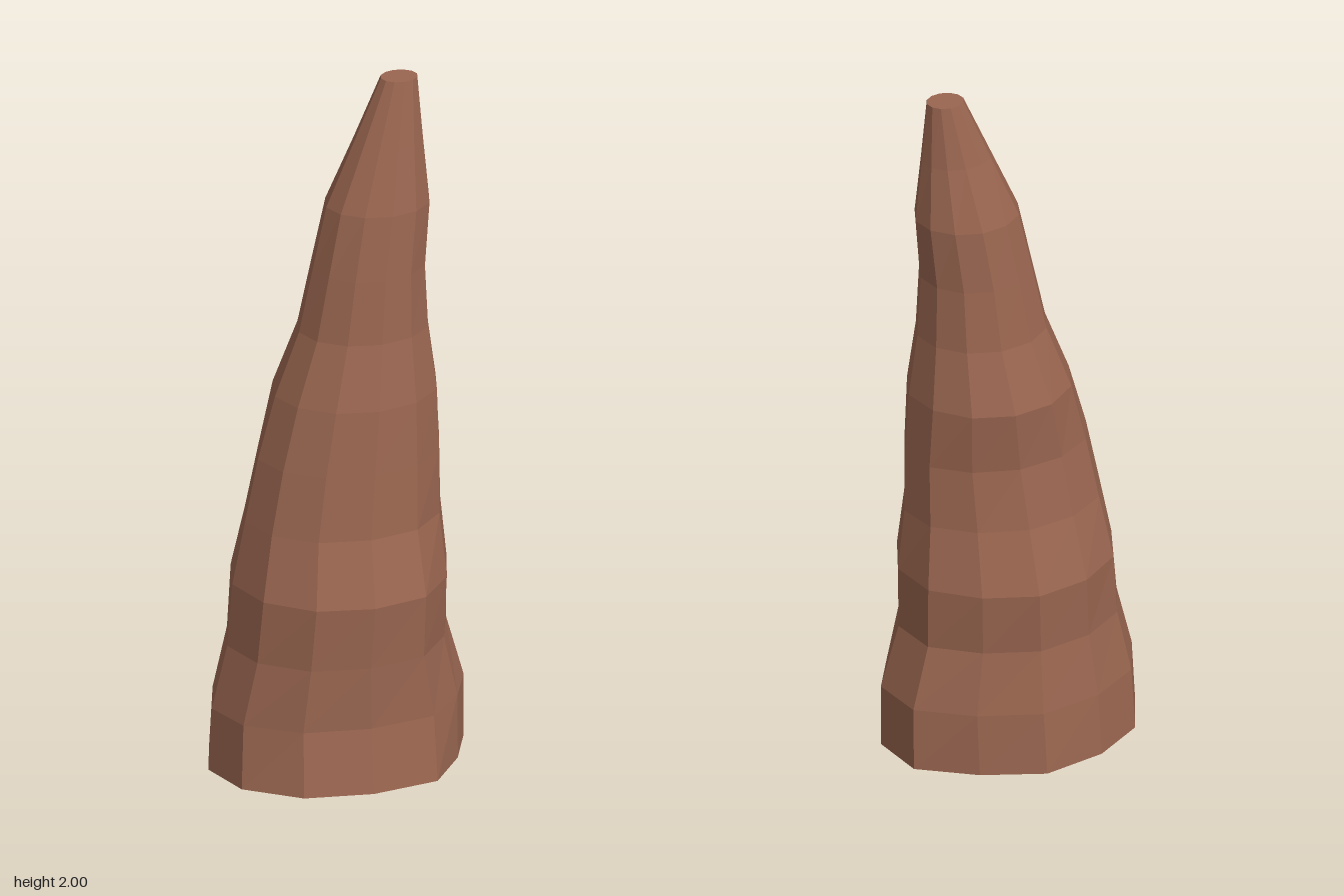
import * as THREE from 'three';

// One row per ring, evenly spaced in height: min x, max x, front z, back z
const RINGS = [
  [-0.375, 0.372, 0.315, 0.315],
  [-0.365, 0.372, 0.282, 0.30],
  [-0.32, 0.32, 0.285, 0.27],
  [-0.305, 0.322, 0.297, 0.282],
  [-0.268, 0.303, 0.24, 0.225],
  [-0.23, 0.30, 0.22, 0.20],
  [-0.18, 0.29, 0.20, 0.216],
  [-0.11, 0.265, 0.16, 0.165],
  [-0.07, 0.255, 0.145, 0.146],
  [-0.03, 0.27, 0.126, 0.13],
  [0.05, 0.252, 0.085, 0.08],
  [0.13, 0.236, 0.045, 0.045],
];

// Uneven outline of the foot, every 30 degrees from +x towards +z
const FOOT = [1, 0.94, 1.05, 1, 1.03, 1.03, 1, 0.98, 0.96, 1, 0.95, 1.04];

export function createModel() {
  const group = new THREE.Group();
  group.name = 'rockSpire';
  const rock = new THREE.MeshStandardMaterial({ color: 0x9a6650, flatShading: true });
  rock.name = 'reddish brown rock';

  // Twelve-sided column, each ring reshaped to lean and bulge
  const steps = RINGS.length - 1;
  const column = new THREE.CylinderGeometry(1, 1, 2, 12, steps);
  const p = column.attributes.position;
  for (let i = 0; i < p.count; i++) {
    const x = p.getX(i), z = p.getZ(i), y = p.getY(i) + 1;
    const ring = Math.round((y / 2) * steps);
    const [minX, maxX, front, back] = RINGS[ring];
    const corner = (Math.round(Math.atan2(z, x) / (Math.PI / 6)) + 12) % 12;
    const rough = 1 + (FOOT[corner] - 1) * Math.max(0, 1 - ring / 6);
    p.setXYZ(
      i,
      (minX + maxX) / 2 + x * rough * (maxX - minX) / 2,
      y,
      z * rough * (z > 0 ? front : back),
    );
  }

  // Separate faces for hard facets
  const faceted = column.toNonIndexed();
  faceted.computeVertexNormals();
  const spire = new THREE.Mesh(faceted, rock);
  spire.name = 'spire';
  group.add(spire);
  return group;
}
